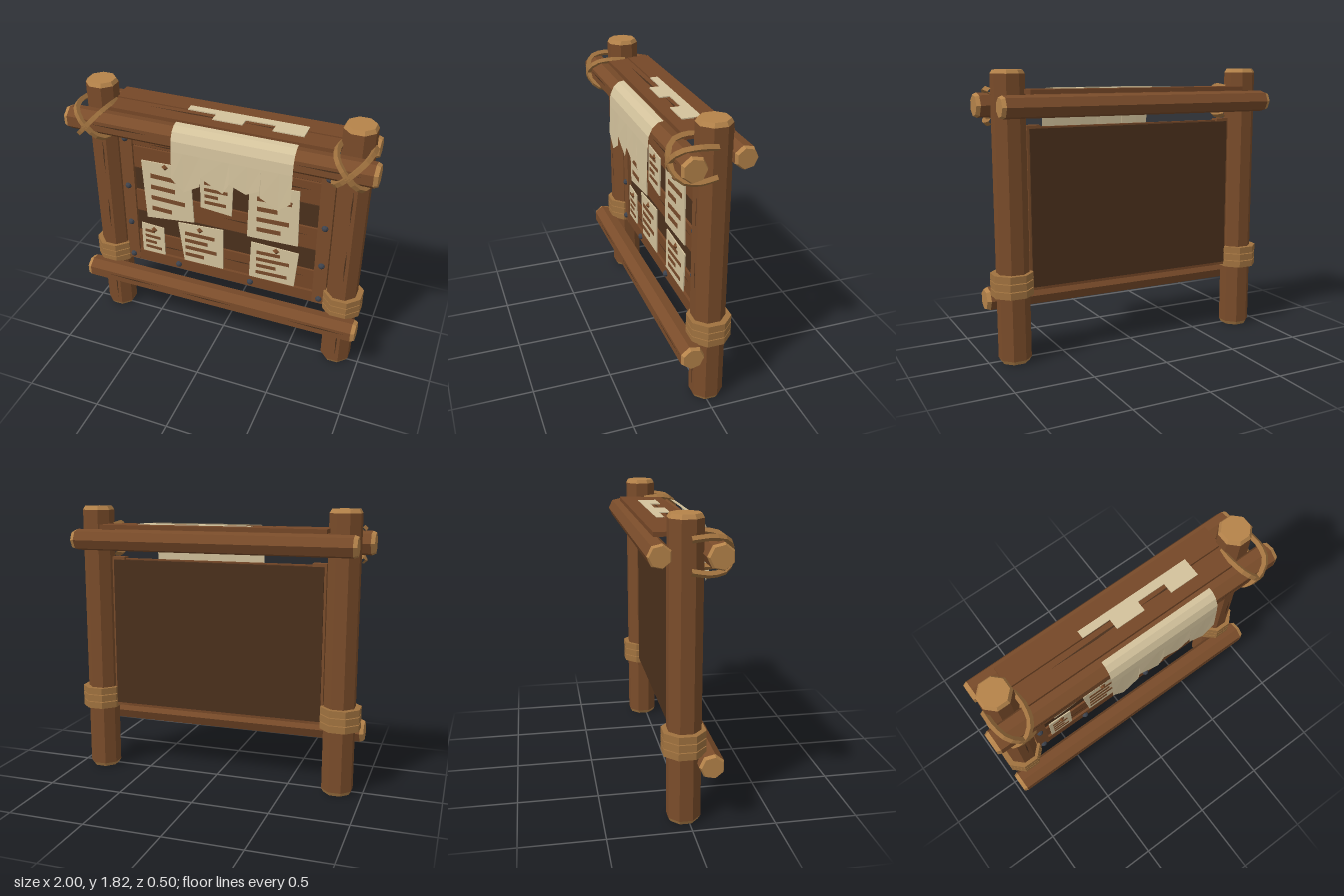
import * as THREE from 'three';

const mat = (name, color, extra = {}) => {
  const m = new THREE.MeshStandardMaterial({ color, ...extra });
  m.name = name;
  return m;
};

export function createModel() {
  const wood = mat('log wood', 0x7a4c2a);
  const plankWood = mat('plank wood', 0x754727);
  const darkWood = mat('dark wood', 0x4b301c);
  const endWood = mat('cut wood', 0xb5834a);
  const ropeMat = mat('rope', 0xa0723f);
  const paper = mat('paper', 0xd3c29c, { side: THREE.DoubleSide });
  const iron = mat('iron', 0x3d424c);
  const ink = mat('brown ink', 0x784b2a);

  const root = new THREE.Group();
  root.name = 'noticeBoard';

  const add = (name, geo, material, pos = [0, 0, 0], parent = root) => {
    const g = geo.index ? geo.toNonIndexed() : geo; // faceted shading
    g.computeVertexNormals();
    const m = new THREE.Mesh(g, material);
    m.name = name;
    m.position.set(...pos);
    parent.add(m);
    return m;
  };
  const box = (name, x0, x1, y0, y1, z0, z1, material) =>
    add(name, new THREE.BoxGeometry(x1 - x0, y1 - y0, z1 - z0), material,
      [(x0 + x1) / 2, (y0 + y1) / 2, (z0 + z1) / 2]);

  // Faceted log with pale chamfered ends, one flat side facing the front
  const log = (name, r, length, sides, pos) => {
    const g = new THREE.Group();
    g.name = name;
    g.position.set(...pos);
    const c = 0.025, start = Math.PI / sides;
    const cyl = (rt, rb, h, open) => new THREE.CylinderGeometry(rt, rb, h, sides, 1, open, start);
    add(name + 'Body', cyl(r, r, length - 2 * c, true), wood, [0, 0, 0], g);
    for (const s of [1, -1]) {
      const end = add(name + 'End', cyl(r * 0.86, r, c), endWood, [0, s * (length - c) / 2, 0], g);
      if (s < 0) end.rotation.z = Math.PI;
      if (s < 0 && sides % 2) end.rotation.z = Math.PI;
    }
    root.add(g);
    return g;
  };

  // Thin pointed grain crack lying on a front face
  const crack = (x, y, z, w, h) => {
    const s = new THREE.Shape([[-w / 2, 0], [0, -h / 2], [w / 2, h * 0.1], [w * 0.1, h / 2]]
      .map(p => new THREE.Vector2(...p)));
    return add('grainCrack', new THREE.ShapeGeometry(s), darkWood, [x, y, z]);
  };

  // Posts and cross beams
  for (const s of [1, -1]) log('post', 0.1045, 1.82, 8, [s * 0.835, 0.91, -0.024]);
  const beams = [
    ['topFrontBeam', 0.079, 2.0, 1.604, 0.142],
    ['topBackBeam', 0.071, 1.88, 1.604, -0.178],
    ['bottomBeam', 0.077, 1.96, 0.382, 0.119],
  ];
  for (const [name, r, len, y, z] of beams) {
    log(name, r, len, 7, [0, y, z]).rotation.z = Math.PI / 2;
    if (name !== 'topBackBeam') {
      const front = z + r * Math.cos(Math.PI / 7) + 0.001;
      for (const x of [-0.62, -0.05, 0.72]) crack(x, y + 0.01, front, 0.4, 0.01);
    }
  }
  for (const s of [1, -1])
    for (const y of [0.2, 0.85, 1.3]) crack(s * 0.835 + 0.015, y, 0.0735, 0.01, 0.26);

  // Backing board and planks
  box('backBoard', -0.715, 0.715, 0.47, 1.465, -0.06, -0.02, darkWood);
  const rows = [0.535, 0.705, 0.87, 1.045, 1.215, 1.385, 1.48];
  for (let i = 0; i < rows.length - 1; i++) {
    const deep = i === 1 || i === 3;
    box('plank', -0.66, 0.66, rows[i] + 0.006, rows[i + 1] - 0.006, -0.03, deep ? -0.014 : -0.004,
      deep ? darkWood : plankWood);
    if (!deep) for (const x of [-0.4, 0.12, 0.45])
      crack(x, (rows[i] + rows[i + 1]) / 2 + x * 0.05, -0.003, 0.26, 0.01);
  }

  // Frame strips with bolts
  for (const s of [1, -1]) box('sideStrip', s * 0.685 - 0.045, s * 0.685 + 0.045, 0.45, 1.485, -0.05, 0.012, wood);
  box('bottomStrip', -0.64, 0.64, 0.45, 0.535, -0.05, 0.01, plankWood);
  const bolts = [[-0.335, 0.49], [0.2, 0.49]];
  for (const s of [1, -1]) for (const y of [0.49, 0.77, 1.07, 1.435]) bolts.push([s * 0.688, y]);
  for (const [x, y] of bolts) {
    const g = new THREE.SphereGeometry(0.023, 8, 3, 0, Math.PI * 2, 0, Math.PI / 2);
    add('bolt', g.rotateX(Math.PI / 2), iron, [x, y, 0.01]);
  }

  // Roof boards
  box('roofBoardBack', -0.75, 0.75, 1.677, 1.704, -0.185, -0.036, plankWood);
  box('roofBoardFront', -0.75, 0.75, 1.675, 1.7, -0.03, 0.11, plankWood);
  crack(-0.2, 1.7015, 0.01, 0.6, 0.016).rotation.x = -Math.PI / 2;
  crack(0.3, 1.7015, 0.0, 0.4, 0.012).rotation.x = -Math.PI / 2;

  // Ragged cloth end on the roof
  [[-0.25, -0.035], [-0.06, 0.035], [0.135, -0.03], [0.325, 0.038]].forEach(([x, z], i, a) => {
    const x1 = i < 3 ? a[i + 1][0] : 0.52;
    box('roofCloth', x, x1, 1.699, 1.707, -0.085, z, paper);
  });

  // Torn cloth draped over the front beam
  const tear = [[-0.25, 1.36], [-0.17, 1.28], [-0.06, 1.345], [-0.055, 1.41], [0.09, 1.33], [0.13, 1.405],
    [0.24, 1.36], [0.325, 1.405], [0.328, 1.36], [0.44, 1.295], [0.52, 1.36]];
  const drape = [[1.706, 0.145], [1.7, 0.178], [1.672, 0.212], [1.62, 0.236], [1.55, 0.241], [0, 0.248]];
  const cloth = new THREE.PlaneGeometry(1, 1, tear.length - 1, drape.length - 1);
  for (let r = 0; r < drape.length; r++)
    for (let c = 0; c < tear.length; c++)
      cloth.attributes.position.setXYZ(r * tear.length + c, tear[c][0], drape[r][0] || tear[c][1], drape[r][1]);
  add('drapedCloth', cloth, paper);

  // Pinned notes: four corners, pin position, then abstract painted bars
  const notes = [
    { c: [-0.58, 1.29, -0.23, 1.3, -0.21, 0.88, -0.56, 0.84], pin: [-0.41, 1.27] },
    { c: [-0.16, 1.28, 0.07, 1.27, 0.06, 1.0, -0.16, 1.02], pin: [-0.04, 1.24] },
    { c: [0.18, 1.29, 0.51, 1.3, 0.52, 0.88, 0.17, 0.87], pin: [0.34, 1.26] },
    { c: [-0.61, 0.78, -0.44, 0.77, -0.44, 0.54, -0.61, 0.54], pin: [-0.515, 0.74] },
    { c: [-0.33, 0.85, 0, 0.87, 0, 0.54, -0.29, 0.54], pin: [-0.17, 0.825] },
    { c: [0.2, 0.83, 0.53, 0.82, 0.51, 0.54, 0.19, 0.54], pin: [0.375, 0.8] },
  ];
  notes.forEach(({ c, pin }, n) => {
    const shape = new THREE.Shape([0, 2, 4, 6].map(i => new THREE.Vector2(c[i], c[i + 1])));
    add('note', new THREE.ExtrudeGeometry(shape, { depth: 0.008, bevelEnabled: false }), paper, [0, 0, 0.002]);
    const w = c[2] - c[0], h = c[1] - c[7], cx = (c[0] + c[4]) / 2, top = c[1] - h * 0.24;
    for (let i = 0; i < 4; i++) {
      const len = w * [0.66, 0.5, 0.7, 0.42][(i + n) % 4];
      const bar = add('noteBar', new THREE.BoxGeometry(len, Math.min(0.032, h * 0.09), 0.004), ink,
        [cx - (w * 0.7 - len) / 2, top - i * h * 0.19, 0.011]);
      bar.rotation.z = 0.03 * (n % 3 - 1);
    }
    add('pin', new THREE.ConeGeometry(0.024, 0.02, 4).rotateX(Math.PI / 2), ink, [...pin, 0.02]);
  });

  for (const s of [1, -1]) {
    // Three stacked rope turns low on each post
    for (let i = 0; i < 3; i++)
      add('ropeWrap', new THREE.CylinderGeometry(0.135, 0.135, 0.044, 8, 1, false, Math.PI / 8), ropeMat,
        [s * 0.843, 0.458 + i * 0.05, -0.027]);
    // Crossed rope lashing around the front beam
    for (const d of [1, -1]) {
      const path = new THREE.CatmullRomCurve3([[-0.1, 0.09, -0.01], [-0.1, 0.1, 0.1], [-0.075, 0.08, 0.19],
        [0, 0, 0.23], [0.075, -0.08, 0.19], [0.1, -0.1, 0.1], [0.1, -0.085, -0.01]]
        .map(([x, y, z]) => new THREE.Vector3(x * d, y, z)));
      add('ropeLashing', new THREE.TubeGeometry(path, 14, 0.02, 4), ropeMat, [s * 0.835, 1.6, 0]);
    }
  }
  return root;
}
